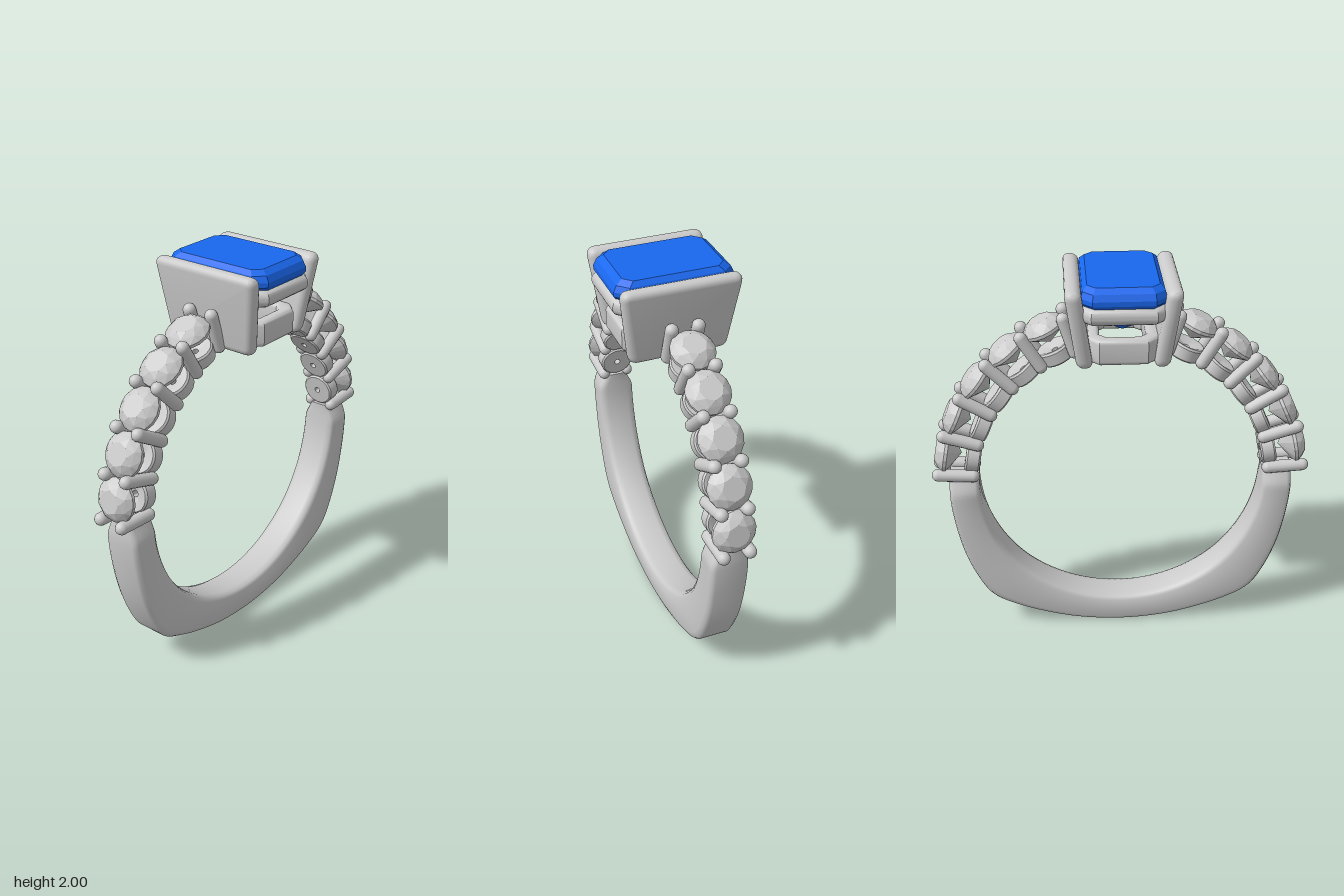
import * as THREE from 'three';
import { toCreasedNormals } from 'three/addons/utils/BufferGeometryUtils.js';
import { ConvexGeometry } from 'three/addons/geometries/ConvexGeometry.js';

const CY = 0.885;      // height of the finger hole's centre
const RI = 0.73;       // finger hole radius
const FIRST = 3.5, STEP = 13.8, STONES = 5; // prong angles in degrees

const metal = new THREE.MeshStandardMaterial({ color: 0xcccccc });
const facetedMetal = new THREE.MeshStandardMaterial({ color: 0xcccccc, flatShading: true });
const blue = new THREE.MeshStandardMaterial({ color: 0x1a68ee, flatShading: true });

function add(parent, name, geometry, material = metal) {
  const mesh = new THREE.Mesh(geometry, material);
  mesh.name = name;
  parent.add(mesh);
  return mesh;
}

// Rectangle with cut corners, as [x, z] pairs
function cutRect(w, d, c) {
  return [[w, d - c], [w - c, d], [c - w, d], [-w, d - c], [-w, c - d], [c - w, -d], [w - c, -d], [w, c - d]];
}

const toPoints = (pairs) => pairs.map(([x, y]) => new THREE.Vector2(x, y));

// Extrusion with rounded edges that stays inside the given outline and depth
function roundedExtrude(shape, depth, bevel) {
  const g = new THREE.ExtrudeGeometry(shape, {
    depth: depth - 2 * bevel, bevelEnabled: true, bevelThickness: bevel,
    bevelSize: bevel, bevelOffset: -bevel, bevelSegments: 5, curveSegments: 6,
  });
  g.translate(0, 0, bevel - depth / 2);
  return toCreasedNormals(g, 0.6);
}

// Lower band: a rounded section swept along the outer outline
function shankGeometry() {
  const half = [[0.878, 0.935], [0.882, 0.82], [0.87, 0.68], [0.833, 0.49], [0.778, 0.335], [0.715, 0.22],
    [0.66, 0.168], [0.58, 0.127], [0.45, 0.078], [0.24, 0.025]];
  const all = [...half, [0, 0.005], ...half.slice().reverse().map(([x, y]) => [-x, y])];
  const curve = new THREE.CatmullRomCurve3(all.map(([x, y]) => new THREE.Vector3(x, y, 0)), false, 'centripetal');
  // Section: u runs from the inside (0) to the outside (1), w is across the band
  const section = [[0.14, -1], [0.04, -0.88], [0, -0.6], [0, 0.6], [0.04, 0.88], [0.14, 1],
    [0.84, 1], [0.95, 0.93], [1, 0.75], [1, -0.75], [0.95, -0.93], [0.84, -1]];
  const N = 120, M = section.length, pos = [], idx = [];
  for (let i = 0; i <= N; i++) {
    const p = curve.getPoint(i / N);
    const a = Math.atan2(p.y - CY, p.x), ro = Math.hypot(p.x, p.y - CY);
    const width = 0.055 + 0.041 * THREE.MathUtils.smoothstep(0.95 - p.y, 0, 0.14);
    for (const [u, w] of section) {
      const r = RI + (ro - RI) * u;
      pos.push(r * Math.cos(a), CY + r * Math.sin(a), w * width);
    }
  }
  for (let i = 0; i < N; i++) {
    for (let j = 0; j < M; j++) {
      const a = i * M + j, b = i * M + (j + 1) % M, c = a + M, d = b + M;
      idx.push(a, c, b, b, c, d);
    }
  }
  for (let j = 1; j < M - 1; j++) {
    idx.push(0, j, j + 1);
    idx.push(N * M, N * M + j + 1, N * M + j);
  }
  const g = new THREE.BufferGeometry();
  g.setAttribute('position', new THREE.Float32BufferAttribute(pos, 3));
  g.setIndex(idx);
  return toCreasedNormals(g, 1);
}

// Round brilliant with its table up; heights are distances from the ring centre
function brilliantGeometry() {
  const pts = [new THREE.Vector3(0, 0.825, 0)];
  const ring = (n, r, y, turn) => {
    for (let i = 0; i < n; i++) {
      const a = ((i + turn) / n) * Math.PI * 2;
      pts.push(new THREE.Vector3(r * Math.cos(a), y, r * Math.sin(a)));
    }
  };
  ring(8, 0.058, 0.958, 0);
  ring(8, 0.088, 0.939, 0.5);
  ring(16, 0.109, 0.912, 0);
  ring(16, 0.109, 0.896, 0);
  ring(8, 0.08, 0.875, 0.5);
  return new ConvexGeometry(pts);
}

// Step-cut stone: stacked cut-corner rectangles, closed at both ends
function stepCutGeometry() {
  const levels = [[0.168, 0.248, 0.04, 2], [0.19, 0.279, 0.048, 1.978], [0.198, 0.294, 0.052, 1.948],
    [0.198, 0.294, 0.052, 1.925], [0.155, 0.25, 0.045, 1.865], [0.09, 0.195, 0.03, 1.8], [0.006, 0.12, 0.004, 1.745]];
  const pos = [], idx = [];
  for (const [w, d, c, y] of levels) for (const [x, z] of cutRect(w, d, c)) pos.push(x, y, z);
  for (let i = 0; i < levels.length - 1; i++) {
    for (let j = 0; j < 8; j++) {
      const a = i * 8 + j, b = i * 8 + (j + 1) % 8;
      idx.push(a, b, a + 8, b, b + 8, a + 8);
    }
  }
  const last = (levels.length - 1) * 8;
  for (let j = 1; j < 7; j++) idx.push(0, j + 1, j, last, last + j, last + j + 1);
  const g = new THREE.BufferGeometry();
  g.setAttribute('position', new THREE.Float32BufferAttribute(pos, 3));
  g.setIndex(idx);
  g.computeVertexNormals();
  return g;
}

// Cut-corner loop lying flat around the centre stone
function railGeometry(w, d, cut, thick, y0, y1, bevel) {
  const shape = new THREE.Shape(toPoints(cutRect(w, d, cut)));
  shape.holes.push(new THREE.Path(toPoints(cutRect(w - thick, d - thick, cut * 0.6).reverse())));
  return roundedExtrude(shape, y1 - y0, bevel).rotateX(-Math.PI / 2).translate(0, (y0 + y1) / 2, 0);
}

// Side wall of the head, wider at the top and leaning outward
function wallGeometry() {
  const s = new THREE.Shape();
  s.moveTo(-0.205, 1.588);
  s.lineTo(0.205, 1.588);
  s.quadraticCurveTo(0.244, 1.588, 0.25, 1.63);
  s.lineTo(0.293, 1.945);
  s.quadraticCurveTo(0.296, 1.99, 0.25, 1.99);
  s.lineTo(-0.25, 1.99);
  s.quadraticCurveTo(-0.296, 1.99, -0.293, 1.945);
  s.lineTo(-0.25, 1.63);
  s.quadraticCurveTo(-0.244, 1.588, -0.205, 1.588);
  const g = roundedExtrude(s, 0.078, 0.034).rotateY(Math.PI / 2);
  const p = g.attributes.position;
  for (let i = 0; i < p.count; i++) p.setX(i, p.getX(i) + 0.21 + (p.getY(i) - 1.79) * 0.14);
  return toCreasedNormals(g, 0.6);
}

export function createModel() {
  const ring = new THREE.Group();
  ring.name = 'ring';
  add(ring, 'shank', shankGeometry());

  // Shoulders: a row of stones in cups, with prong pairs between them
  const stoneGeo = brilliantGeometry();
  const cupGeo = toCreasedNormals(new THREE.LatheGeometry(toPoints([[0.016, 0.78], [0.016, 0.727], [0.08, 0.727],
    [0.088, 0.735], [0.09, 0.793], [0.083, 0.803], [0.072, 0.803], [0.016, 0.78]]), 32), 0.6);
  const prongGeo = new THREE.CapsuleGeometry(0.032, 0.178, 6, 14).translate(0, 0.846, 0);
  for (const side of [1, -1]) {
    const shoulder = new THREE.Group();
    shoulder.name = side > 0 ? 'leftShoulder' : 'rightShoulder';
    ring.add(shoulder);
    const spoke = (name, degrees) => {
      const g = new THREE.Group();
      g.name = name;
      g.position.y = CY;
      g.rotation.z = side * THREE.MathUtils.degToRad(degrees - 90);
      shoulder.add(g);
      return g;
    };
    for (let i = 0; i <= STONES; i++) {
      const pair = spoke('prongPair', FIRST + i * STEP);
      for (const z of [0.066, -0.066]) add(pair, 'prong', prongGeo).position.z = z;
    }
    for (let i = 0; i < STONES; i++) {
      const setting = spoke('stoneSetting', FIRST + (i + 0.5) * STEP);
      add(setting, 'stoneCup', cupGeo);
      add(setting, 'sideStone', stoneGeo, facetedMetal);
    }
  }

  // Head: two leaning walls, two rails and the centre stone
  const head = new THREE.Group();
  head.name = 'head';
  ring.add(head);
  const wallGeo = wallGeometry();
  add(head, 'leftWall', wallGeo);
  add(head, 'rightWall', wallGeo).rotation.y = Math.PI;
  add(head, 'upperRail', railGeometry(0.213, 0.303, 0.06, 0.086, 1.825, 1.912, 0.04));
  add(head, 'lowerRail', railGeometry(0.175, 0.25, 0.06, 0.065, 1.61, 1.738, 0.022));
  add(head, 'centreStone', stepCutGeometry(), blue);
  return ring;
}
